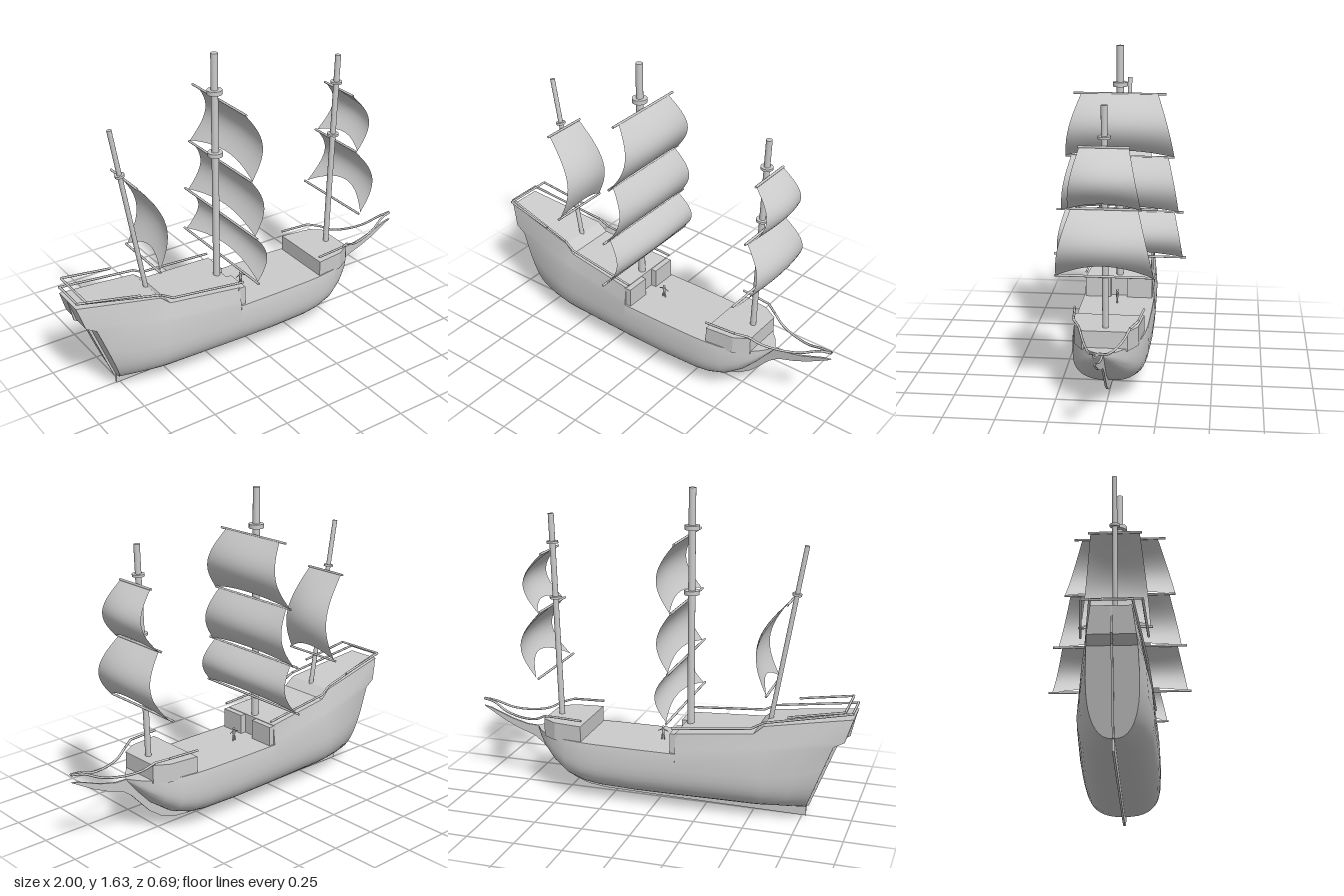
import * as THREE from 'three';
import { toCreasedNormals } from 'three/addons/utils/BufferGeometryUtils.js';

const mat = new THREE.MeshStandardMaterial({ color: 0xcccccc });
const thin = new THREE.MeshStandardMaterial({ color: 0xcccccc, side: THREE.DoubleSide });
const V = (x, y, z) => new THREE.Vector3(x, y, z);

function add(parent, name, geo, material = mat) {
  const mesh = new THREE.Mesh(geo, material);
  mesh.name = name;
  parent.add(mesh);
  return mesh;
}

// Round bar between two points
function bar(parent, name, a, b, r, rEnd = r, sides = 16) {
  const mesh = add(parent, name, new THREE.CylinderGeometry(rEnd, r, a.distanceTo(b), sides));
  mesh.position.copy(a).lerp(b, 0.5);
  mesh.quaternion.setFromUnitVectors(V(0, 1, 0), b.clone().sub(a).normalize());
  return mesh;
}

// Rail through points, with sharp bends or as a smooth curve
function rail(parent, name, pts, r, smooth = false) {
  const path = smooth ? new THREE.CatmullRomCurve3(pts) : new THREE.CurvePath();
  if (!smooth) for (let i = 1; i < pts.length; i++) path.add(new THREE.LineCurve3(pts[i - 1], pts[i]));
  if (smooth) return add(parent, name, new THREE.TubeGeometry(path, 40, r, 6), thin);
  for (let i = 1; i < pts.length; i++) bar(parent, name, pts[i - 1], pts[i], r, r, 6);
}

// Slope of the stern: x for a given height
const STERN = [[0.05, -0.77], [0.42, -0.91], [0.45, -0.965], [0.565, -1]];
function sternX(y) {
  for (let i = 1; i < STERN.length; i++) {
    const [y0, x0] = STERN[i - 1], [y1, x1] = STERN[i];
    if (y <= y1) return x0 + (x1 - x0) * (Math.max(y, y0) - y0) / (y1 - y0);
  }
  return -1;
}

// Stations: x, bottom y, widest y, half width, wale y, wale half width, top y, top half width
const STATIONS = [
  [-1, 0.055, 0.3, 0.115, 0.42, 0.11, 0.565, 0.088],
  [-0.8, 0.055, 0.26, 0.15, 0.4, 0.14, 0.535, 0.112],
  [-0.57, 0.052, 0.24, 0.172, 0.37, 0.162, 0.5, 0.135],
  [-0.52, 0.05, 0.24, 0.175, 0.365, 0.165, 0.457, 0.14],
  [-0.13, 0.05, 0.23, 0.19, 0.325, 0.184, 0.425, 0.172],
  [-0.13, 0.05, 0.23, 0.19, 0.31, 0.186, 0.32, 0.184],
  [0.1, 0.05, 0.22, 0.192, 0.31, 0.187, 0.32, 0.185],
  [0.3, 0.055, 0.22, 0.188, 0.31, 0.184, 0.32, 0.182],
  [0.38, 0.066, 0.22, 0.182, 0.31, 0.179, 0.32, 0.177],
  [0.47, 0.098, 0.23, 0.168, 0.31, 0.166, 0.32, 0.164],
  [0.55, 0.155, 0.26, 0.137, 0.31, 0.136, 0.32, 0.135],
  [0.61, 0.22, 0.28, 0.097, 0.31, 0.098, 0.32, 0.098],
  [0.65, 0.268, 0.3, 0.057, 0.312, 0.058, 0.32, 0.058],
  [0.685, 0.31, 0.313, 0.004, 0.316, 0.004, 0.32, 0.004],
];

function hullGeometry() {
  const pos = [], idx = [], steps = 10;
  let n = 0;
  for (const [x, yB, yM, w, yS, wS, yT, wT] of STATIONS) {
    const half = [];
    for (let k = 0; k <= steps; k++) {
      const a = (k / steps) * Math.PI / 2;
      half.push([w * Math.sin(a) ** 0.8, yM - (yM - yB) * Math.max(Math.cos(a), 0) ** 0.8]);
    }
    half.push([wS, yS], [wS + (wT - wS) * 0.2, yS + (yT - yS) * 0.2], [wT, yT]);
    const loop = [...half.slice(1).reverse(), ...half.map(([z, y]) => [-z, y])];
    n = loop.length;
    const rake = THREE.MathUtils.clamp((-0.57 - x) / 0.43, 0, 1);
    for (const [z, y] of loop) pos.push(x + (sternX(y) + 1) * rake, y, z);
  }
  // Planking and decks
  for (let i = 0; i < STATIONS.length - 1; i++) {
    for (let j = 0; j < n; j++) {
      const a = i * n + j, c = i * n + (j + 1) % n;
      idx.push(a, c, a + n, a + n, c, c + n);
    }
  }
  // Transom
  for (let j = 0; j < (n - 1) / 2; j++) {
    const p = j, q = n - 1 - j;
    idx.push(p, q, p + 1, p + 1, q, q - 1);
  }
  const geo = new THREE.BufferGeometry();
  geo.setAttribute('position', new THREE.Float32BufferAttribute(pos, 3));
  geo.setIndex(idx);
  return toCreasedNormals(geo, 0.55);
}

// Billowing square sail; the foot is cut in an arch
function sail(parent, name, top, foot, wTop, wFoot, belly, arch) {
  const N = 16, geo = new THREE.PlaneGeometry(2, 1, N, N), p = geo.attributes.position;
  for (let i = 0; i < p.count; i++) {
    const u = p.getX(i), v = (0.5 - p.getY(i)) * (1 - arch * (1 - u * u));
    const w = wTop + (wFoot - wTop) * (v + 0.16 * Math.sin(Math.PI * v));
    const c = top.clone().lerp(foot, v);
    p.setXYZ(i, c.x + belly * Math.sin(Math.PI * v) * (1 - 0.2 * u * u), c.y, u * w);
  }
  geo.computeVertexNormals();
  add(parent, name, geo, thin);
}

// Mast with collars, yards [x, y, half length] and sails
function mast(root, name, base, tip, r, collars, yards, sails) {
  const g = new THREE.Group();
  g.name = name;
  root.add(g);
  bar(g, 'mastPole', base, tip, r);
  const dir = tip.clone().sub(base).normalize();
  for (const [y, cr, h] of collars) {
    const c = base.clone().lerp(tip, (y - base.y) / (tip.y - base.y));
    bar(g, 'mastCollar', c.clone().addScaledVector(dir, -h / 2), c.clone().addScaledVector(dir, h / 2), cr);
  }
  for (const [x, y, half] of yards) bar(g, 'yard', V(x, y, -half), V(x, y, half), 0.006, 0.006, 8);
  for (const [x0, y0, w0, x1, y1, w1, belly, arch] of sails) sail(g, 'sail', V(x0, y0, 0), V(x1, y1, 0), w0, w1, belly, arch);
}

function plate(points, depth) {
  const shape = new THREE.Shape(points.map(([x, y]) => new THREE.Vector2(x, y)));
  return new THREE.ExtrudeGeometry(shape, { depth, bevelEnabled: false });
}

export function createModel() {
  const root = new THREE.Group();
  add(root, 'hull', hullGeometry());

  // Keel, sternpost and beak in one thin plate
  const keel = plate([[-0.77, 0], [-0.3, 0.005], [0.1, 0.01], [0.3, 0.014], [0.4, 0.025], [0.48, 0.055], [0.55, 0.105],
    [0.61, 0.17], [0.66, 0.225], [0.71, 0.262], [0.8, 0.293], [0.88, 0.33], [1, 0.4], [0.96, 0.392], [0.84, 0.345],
    [0.75, 0.322], [0.64, 0.318], [0.5, 0.15], [0.3, 0.08], [-0.74, 0.08], [-0.88, 0.42], [-0.95, 0.47],
    [-0.985, 0.56], [-1, 0.56], [-0.975, 0.45], [-0.925, 0.42], [-0.783, 0.055], [-0.77, 0.055]], 0.01);
  add(root, 'keel', keel.translate(0, 0, -0.005));

  // Forecastle with chamfered front
  const castle = plate([[0.38, -0.17], [0.53, -0.153], [0.605, -0.108], [0.605, 0.108], [0.53, 0.153], [0.38, 0.17]], 0.095);
  const forecastle = add(root, 'forecastle', castle.rotateX(-Math.PI / 2));
  forecastle.position.y = 0.308;

  for (const s of [1, -1]) {
    // Quarterdeck blocks beside the central doorway
    const block = add(root, 'quarterdeckBlock', new THREE.BoxGeometry(0.04, 0.11, 0.132));
    block.position.set(-0.12, 0.367, s * 0.108);
    // Rails
    rail(root, 'quarterdeckRail', [V(-1, 0.595, s * 0.09), V(-0.57, 0.52, s * 0.14), V(-0.51, 0.487, s * 0.148),
      V(-0.11, 0.45, s * 0.172)], 0.006);
    rail(root, 'poopRail', [V(-0.965, 0.613, s * 0.132), V(-0.69, 0.565, s * 0.152)], 0.006);
    rail(root, 'forecastleRail', [V(0.375, 0.434, s * 0.168), V(0.54, 0.434, s * 0.153), V(0.6, 0.42, s * 0.12)], 0.006);
    rail(root, 'beakRail', [V(0.6, 0.42, s * 0.12), V(0.66, 0.39, s * 0.098), V(0.75, 0.38, s * 0.07), V(0.85, 0.393, s * 0.04),
      V(0.94, 0.43, s * 0.012), V(1, 0.44, s * 0.003)], 0.006, true);
  }
  rail(root, 'sternRail', [V(-0.965, 0.613, -0.132), V(-0.965, 0.613, 0.132)], 0.006);
  rail(root, 'taffrail', [V(-0.995, 0.595, -0.09), V(-0.995, 0.595, 0.09)], 0.006);

  // Masts with their sails
  mast(root, 'mainMast', V(-0.16, 0.32, 0), V(-0.16, 1.632, 0), 0.018,
    [[1.437, 0.038, 0.022], [1.112, 0.038, 0.022]],
    [[-0.137, 1.392, 0.235], [-0.137, 1.068, 0.28], [-0.137, 0.78, 0.33], [-0.137, 0.537, 0.347]],
    [[-0.132, 1.392, 0.195, -0.132, 1.07, 0.28, 0.096, 0.12],
      [-0.132, 1.068, 0.25, -0.132, 0.782, 0.305, 0.08, 0.12],
      [-0.132, 0.78, 0.285, -0.132, 0.54, 0.33, 0.08, 0.16]]);
  mast(root, 'foreMast', V(0.548, 0.38, 0), V(0.585, 1.467, 0), 0.015,
    [[1.32, 0.03, 0.012], [1.032, 0.03, 0.012]],
    [[0.598, 1.278, 0.117], [0.59, 0.99, 0.172], [0.575, 0.662, 0.235]],
    [[0.6, 1.276, 0.113, 0.6, 0.99, 0.168, 0.105, 0.13],
      [0.592, 0.988, 0.155, 0.59, 0.664, 0.228, 0.113, 0.24]]);
  mast(root, 'mizzenMast', V(-0.572, 0.47, 0), V(-0.73, 1.38, 0), 0.012,
    [[1.14, 0.024, 0.012]],
    [[-0.667, 1.115, 0.125], [-0.585, 0.665, 0.17]],
    [[-0.662, 1.112, 0.115, -0.583, 0.668, 0.16, 0.115, 0.13]]);

  // Sailor on the main deck
  const sailor = new THREE.Group();
  sailor.name = 'sailor';
  sailor.position.set(-0.012, 0.32, 0);
  root.add(sailor);
  bar(sailor, 'torso', V(0, 0.03, 0), V(0, 0.058, 0), 0.006, 0.008, 8);
  add(sailor, 'head', new THREE.SphereGeometry(0.007, 10, 8)).position.y = 0.068;
  for (const s of [1, -1]) {
    bar(sailor, 'leg', V(s * 0.008, 0, 0), V(s * 0.003, 0.034, 0), 0.003, 0.004, 6);
    bar(sailor, 'arm', V(s * 0.005, 0.056, 0), V(s * 0.028, 0.046, 0), 0.003, 0.002, 6);
  }
  return root;
}
